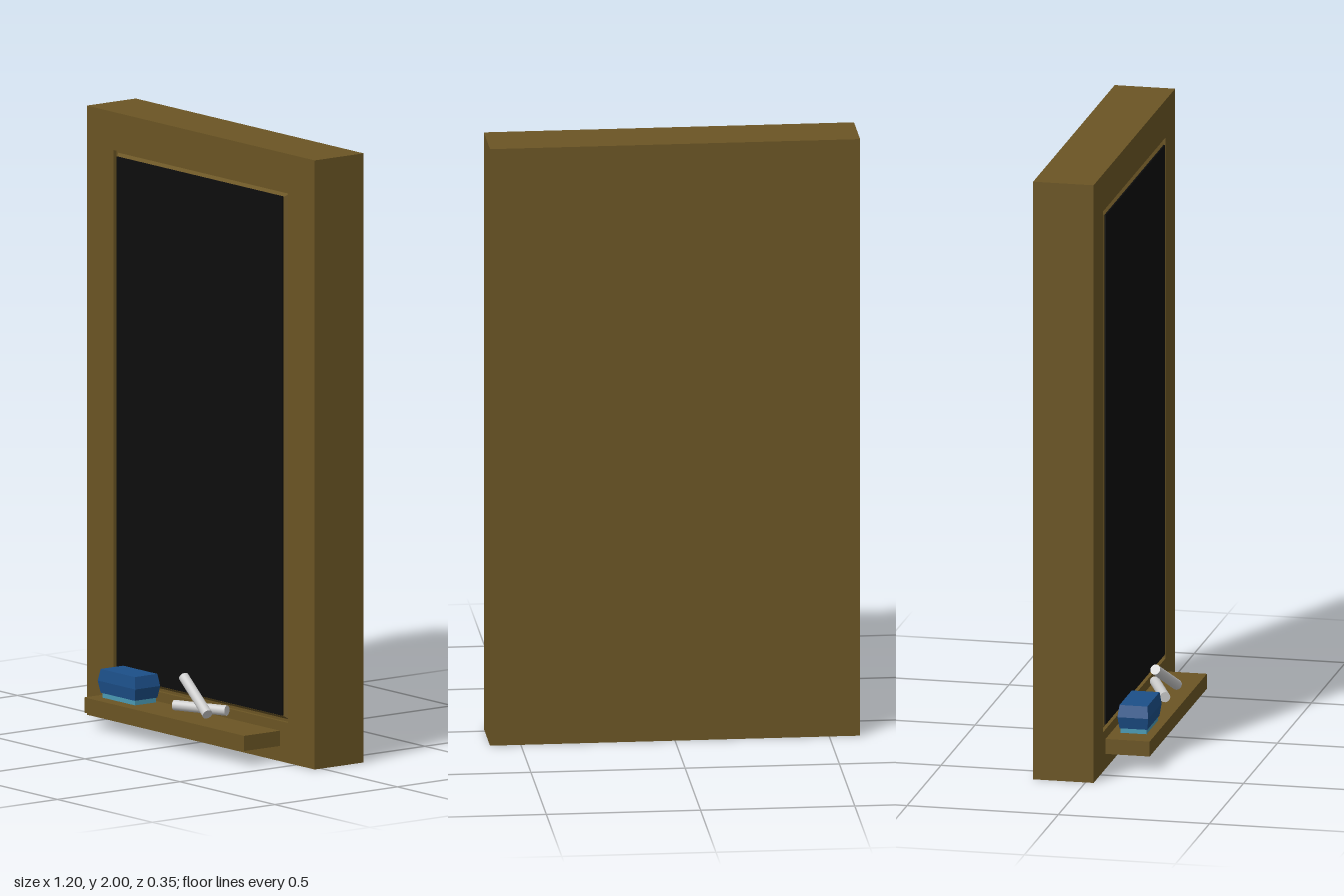
import * as THREE from 'three';

const mat = (color) => new THREE.MeshStandardMaterial({ color });
const wood = mat(0x6b5524);
const slate = mat(0x0d0d0d);
const blue = mat(0x1c4f88);
const felt = mat(0x4a9ab4);
const white = mat(0xcccccc);

const FRONT = 0.027, BACK = -0.173, FLOOR = 0.015;

function add(group, name, geometry, material) {
  const mesh = new THREE.Mesh(geometry, material);
  mesh.name = name;
  group.add(mesh);
  return mesh;
}

// Box given by its minimum and maximum corners
function box(x0, x1, y0, y1, z0, z1, segY = 1) {
  return new THREE.BoxGeometry(x1 - x0, y1 - y0, z1 - z0, 1, segY, 1)
    .translate((x0 + x1) / 2, (y0 + y1) / 2, (z0 + z1) / 2);
}

// Move every vertex by a rule, then rebuild the face normals
function reshape(geometry, rule) {
  const g = geometry.toNonIndexed();
  const p = g.attributes.position, v = new THREE.Vector3();
  for (let i = 0; i < p.count; i++) {
    rule(v.fromBufferAttribute(p, i));
    p.setXYZ(i, v.x, v.y, v.z);
  }
  g.computeVertexNormals();
  return g;
}

function rectangle(Type, x0, x1, y0, y1) {
  return new Type([[x0, y0], [x1, y0], [x1, y1], [x0, y1]].map(([x, y]) => new THREE.Vector2(x, y)));
}

// Chalk stick between two end points
function chalk(group, name, from, to, radius) {
  const a = new THREE.Vector3(...from), b = new THREE.Vector3(...to);
  const dir = b.clone().sub(a);
  const mesh = add(group, name, new THREE.CylinderGeometry(radius, radius, dir.length(), 20), white);
  mesh.position.copy(a).add(b).multiplyScalar(0.5);
  mesh.quaternion.setFromUnitVectors(new THREE.Vector3(0, 1, 0), dir.normalize());
}

export function createModel() {
  const model = new THREE.Group();
  model.name = 'chalkboard';

  // Wooden surround with a shallow opening
  const outline = rectangle(THREE.Shape, -0.6, 0.6, 0, 2);
  outline.holes.push(rectangle(THREE.Path, -0.46, 0.46, 0.132, 1.875));
  const ring = new THREE.ExtrudeGeometry(outline, { depth: FRONT - BACK, bevelEnabled: false });
  add(model, 'frame', ring.translate(0, 0, BACK), wood);
  add(model, 'backing', box(-0.46, 0.46, 0.132, 1.875, BACK, FLOOR), wood);

  // Sloped moulding that rises out of the opening around the slate
  const moulding = reshape(box(-0.46, 0.46, 0.132, 1.875, FLOOR - 0.01, FRONT - 0.001), (v) => {
    if (v.z > FLOOR) {
      v.x -= Math.sign(v.x) * 0.02;
      v.y += v.y < 1 ? 0.018 : -0.018;
    }
  });
  add(model, 'moulding', moulding, wood);

  // Writing surface
  add(model, 'slate', box(-0.438, 0.434, 0.152, 1.857, FRONT - 0.004, FRONT + 0.004), slate);

  // Chalk ledge
  add(model, 'ledge', box(-0.425, 0.417, 0.05, 0.1, FRONT - 0.01, 0.173), wood);

  // Eraser: felt pad under a body that bulges at mid height
  const eraser = new THREE.Group();
  eraser.name = 'eraser';
  add(eraser, 'eraserPad', box(-0.362, -0.19, 0.106, 0.128, 0.062, 0.148), felt);
  const body = reshape(box(-0.375, -0.177, 0.122, 0.2, 0.055, 0.157, 2), (v) => {
    if (Math.abs(v.y - 0.161) > 0.01) {
      v.x += v.x < -0.276 ? 0.009 : -0.009;
      v.z += v.z < 0.106 ? 0.005 : -0.005;
    }
  });
  add(eraser, 'eraserBody', body, blue);
  model.add(eraser);

  // One stick lying flat, the other leaning across it
  chalk(model, 'flatChalk', [-0.006, 0.133, 0.13], [0.175, 0.133, 0.056], 0.017);
  chalk(model, 'leaningChalk', [0, 0.222, 0.096], [0.168, 0.128, 0.13], 0.017);

  return model;
}
